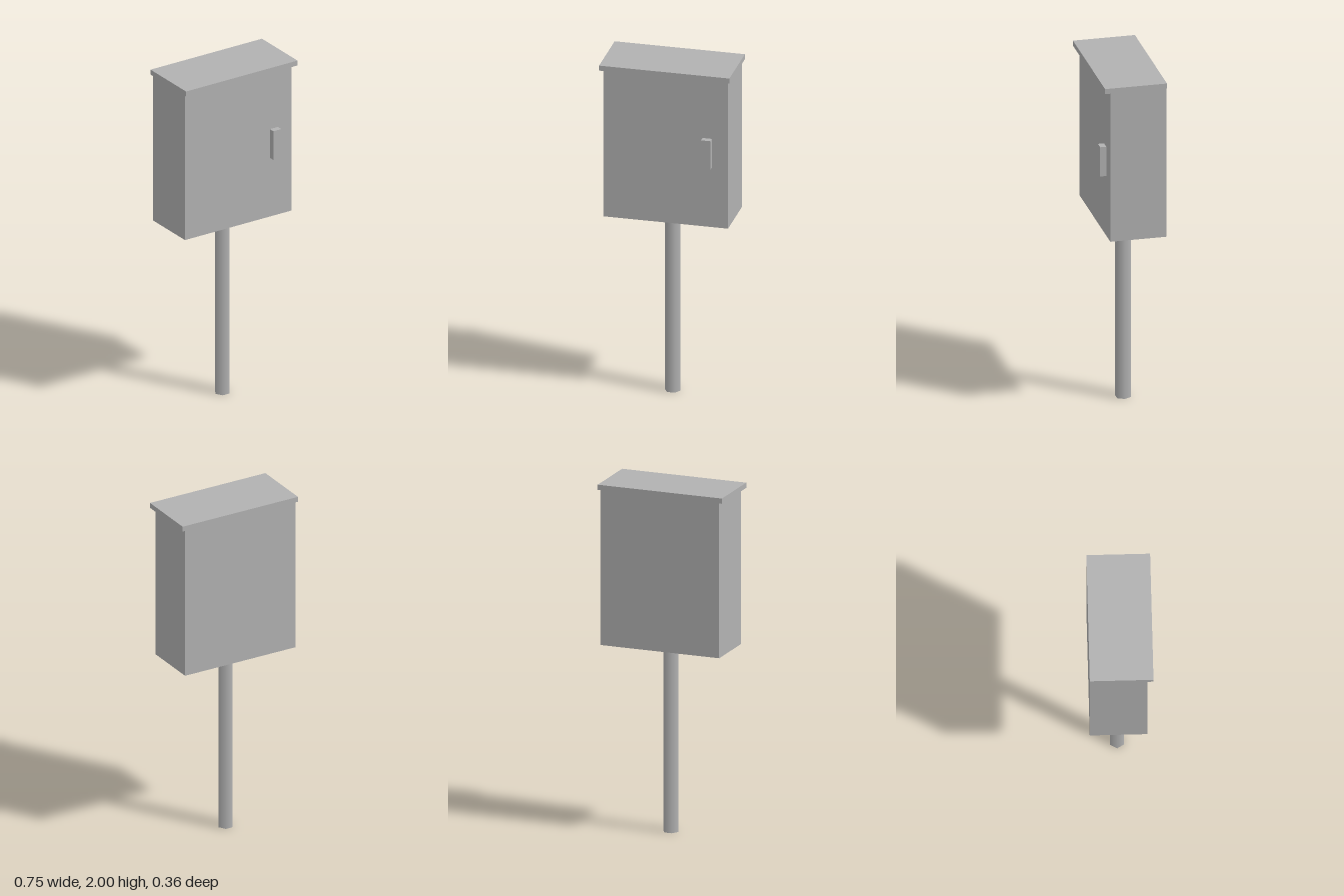
import * as THREE from 'three';

export function createModel() {
  const model = new THREE.Group();
  const paintedMetal = new THREE.MeshStandardMaterial({ color: 0xb2b2b2, side: THREE.DoubleSide });
  paintedMetal.name = 'painted metal';

  const add = (name, geometry, x, y, z) => {
    const mesh = new THREE.Mesh(geometry, paintedMetal);
    mesh.name = name;
    mesh.position.set(x, y, z);
    model.add(mesh);
    return mesh;
  };

  // Box given by its limits on each axis
  const block = (name, [x0, x1], [y0, y1], [z0, z1]) =>
    add(name, new THREE.BoxGeometry(x1 - x0, y1 - y0, z1 - z0),
      (x0 + x1) / 2, (y0 + y1) / 2, (z0 + z1) / 2);

  // Cabinet shell, open underneath: drop the bottom face
  const cabinet = block('cabinet', [-0.357, 0.357], [1.077, 1.97], [-0.177, 0.143]);
  const index = Array.from(cabinet.geometry.index.array);
  index.splice(18, 6);
  cabinet.geometry.setIndex(index);
  cabinet.geometry.clearGroups();

  // Roof overhangs the front and sides, flush at the back
  block('roof', [-0.373, 0.373], [1.97, 2], [-0.177, 0.177]);

  // Door handle
  block('doorHandle', [0.211, 0.264], [1.435, 1.61], [0.143, 0.178]);

  // Hollow six-sided post with smooth shading, corners towards the sides
  const postGeometry = new THREE.CylinderGeometry(0.045, 0.045, 1.077, 6, 1, true);
  postGeometry.rotateY(Math.PI / 2);
  add('post', postGeometry, 0, 1.077 / 2, -0.017);

  return model;
}
